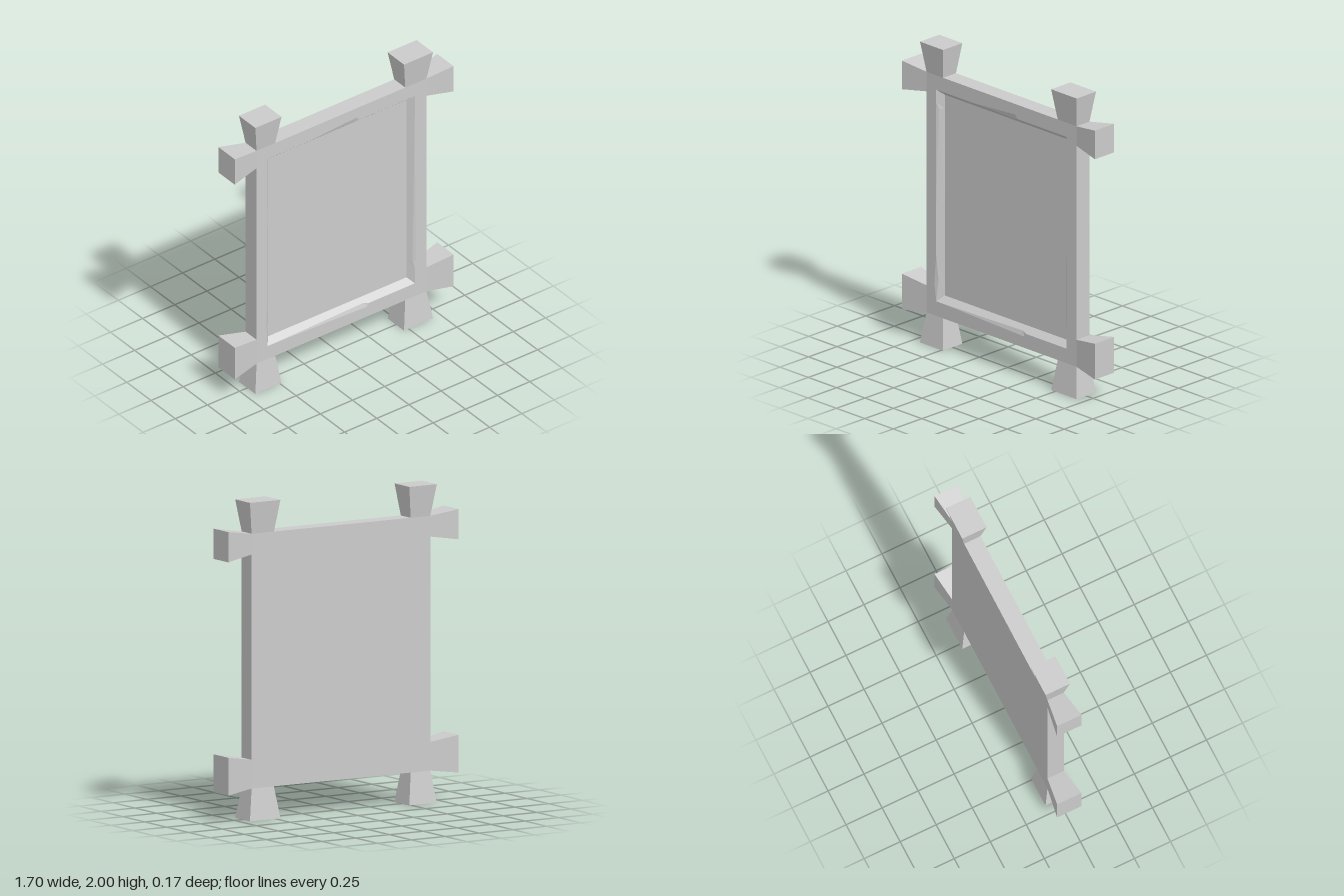
import * as THREE from 'three';

const FRONT = 0.055, BACK = -0.058, FLOOR = 0.015;
const material = new THREE.MeshStandardMaterial({ color: 0xcccccc, flatShading: true });

function part(name, geometry) {
  const mesh = new THREE.Mesh(geometry, material);
  mesh.name = name;
  return mesh;
}

// Band of quads joining two closed loops of [x, y, z] points
function band(a, b) {
  const pos = [];
  a.forEach((p, i) => {
    const j = (i + 1) % a.length;
    pos.push(...p, ...a[j], ...b[j], ...p, ...b[j], ...b[i]);
  });
  const geometry = new THREE.BufferGeometry();
  geometry.setAttribute('position', new THREE.Float32BufferAttribute(pos, 3));
  geometry.computeVertexNormals();
  return geometry;
}

// Post end that widens from the slab edge to its tip; axis 0 = x, 1 = y
function flare(name, axis, base, tip, baseSpan, tipSpan) {
  const geometry = new THREE.BoxGeometry(1, 1, 1);
  const pos = geometry.attributes.position;
  const low = Math.min(base, tip), high = Math.max(base, tip);
  for (let i = 0; i < pos.count; i++) {
    const v = [pos.getX(i), pos.getY(i), pos.getZ(i)];
    const along = v[axis] > 0 ? high : low;
    const atTip = along === tip;
    const span = atTip ? tipSpan : baseSpan;
    const across = span[v[1 - axis] > 0 ? 1 : 0];
    const z = v[2] > 0 ? (atTip ? 0.083 : FRONT) : (atTip ? -0.086 : BACK);
    if (axis === 0) pos.setXYZ(i, along, across, z);
    else pos.setXYZ(i, across, along, z);
  }
  geometry.computeVertexNormals();
  return part(name, geometry);
}

export function createModel() {
  const group = new THREE.Group();
  const corners = [[-0.66, 0.2], [0.66, 0.2], [0.66, 1.8], [-0.66, 1.8]];

  // Opening outline, counter-clockwise: x, y and, at a chip, the lower x, y, z
  const outline = [
    [-0.575, 0.297],
    [-0.52, 0.297],
    [0.2, 0.275, 0.18, 0.306, 0.045],
    [0.215, 0.297],
    [0.57, 0.297],
    [0.57, 0.41],
    [0.577, 0.46, 0.56, 0.47, 0.045],
    [0.57, 1.6],
    [0.57, 1.705],
    [0.14, 1.705],
    [0.12, 1.73, 0.11, 1.695, 0.045],
    [-0.25, 1.705],
    [-0.575, 1.705],
    [-0.575, 1.62],
    [-0.578, 1.59, -0.562, 1.58, 0.045],
    [-0.575, 0.95],
    [-0.575, 0.6],
    [-0.592, 0.42, -0.565, 0.44, 0.045],
  ];
  const rim = outline.map(([x, y]) => [x, y, FRONT]);
  const lip = outline.map(([x, y, lx = x, ly = y, lz = FRONT]) => [lx, ly, lz]);
  const foot = lip.map(([x, y]) => [
    THREE.MathUtils.clamp(x, -0.54, 0.535),
    THREE.MathUtils.clamp(y, 0.335, 1.67),
    FLOOR,
  ]);

  // Front face of the frame with its opening
  const face = new THREE.Shape(corners.map(([x, y]) => new THREE.Vector2(x, y)));
  face.holes.push(new THREE.Path(rim.map(([x, y]) => new THREE.Vector2(x, y))));
  group.add(part('frameFront', new THREE.ShapeGeometry(face).translate(0, 0, FRONT)));

  // Outer edges and back
  group.add(part('frameSides', band(
    corners.map(([x, y]) => [x, y, BACK]),
    corners.map(([x, y]) => [x, y, FRONT]),
  )));
  group.add(part('frameBack',
    new THREE.PlaneGeometry(1.32, 1.6).rotateY(Math.PI).translate(0, 1, BACK)));

  // Chipped bevel running down to the sunken panel
  group.add(part('edgeChips', band(rim, lip)));
  group.add(part('bevel', band(lip, foot)));
  group.add(part('panel',
    new THREE.PlaneGeometry(1.075, 1.335).translate(-0.0025, 1.0025, FLOOR)));

  // Flared ends of the uprights
  const uprights = [
    ['right', [-0.66, -0.515], [-0.69, -0.487]],
    ['left', [0.495, 0.66], [0.465, 0.69]],
  ];
  for (const [side, baseSpan, tipSpan] of uprights) {
    group.add(flare(side + 'UprightTop', 1, 1.8, 2, baseSpan, tipSpan));
    group.add(flare(side + 'UprightFoot', 1, 0.2, 0, baseSpan, tipSpan));
  }

  // Flared ends of the crossbars
  const crossbars = [
    ['upper', [1.67, 1.8], [1.64, 1.83]],
    ['lower', [0.2, 0.38], [0.175, 0.413]],
  ];
  for (const [level, baseSpan, tipSpan] of crossbars) {
    for (const s of [-1, 1]) {
      const name = level + 'Crossbar' + (s > 0 ? 'Left' : 'Right');
      group.add(flare(name, 0, s * 0.66, s * 0.85, baseSpan, tipSpan));
    }
  }

  return group;
}
